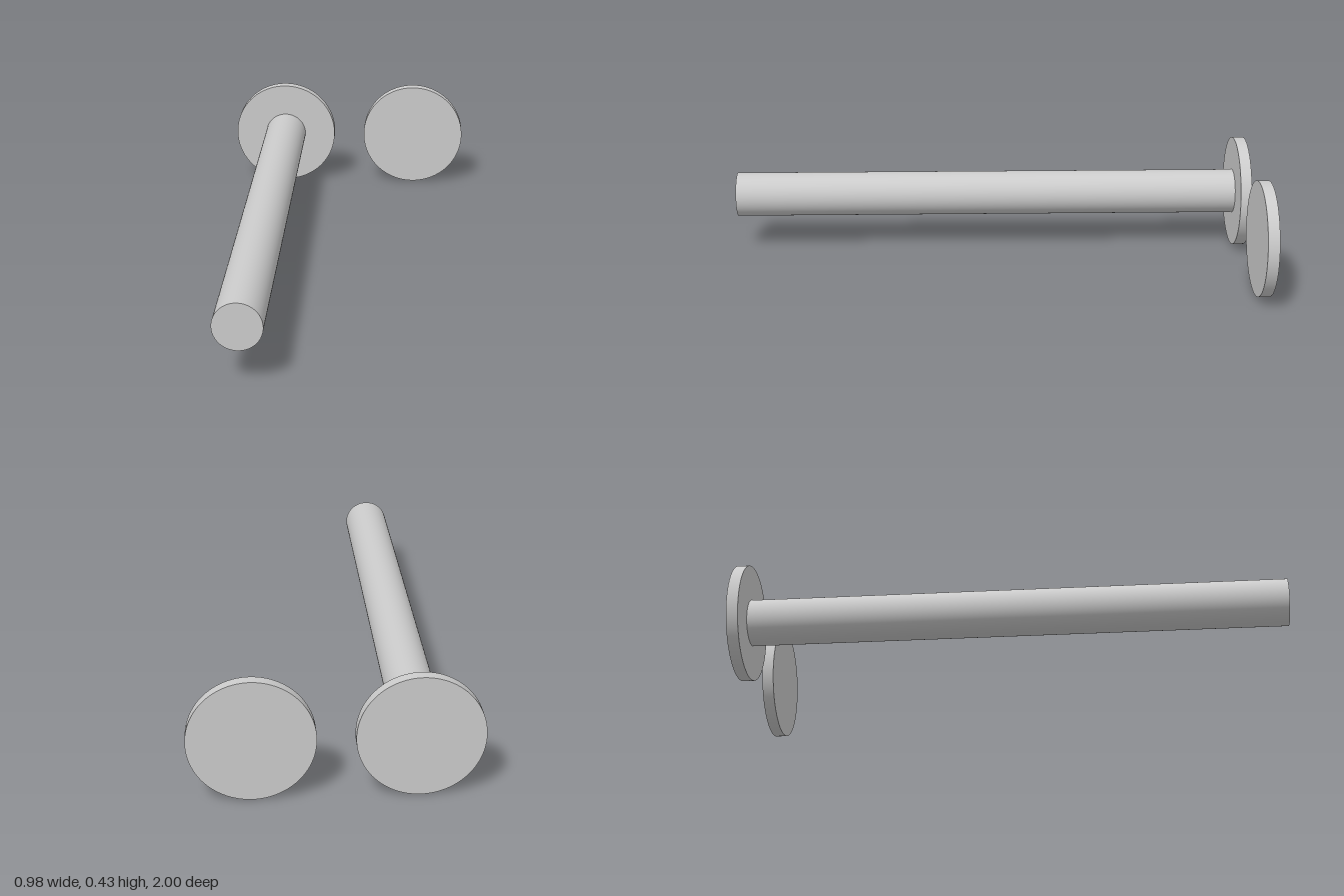
import * as THREE from 'three';

const UNIT = 2 / 47; // disc thickness; the whole pin is 47 of these long
const DISC_RADIUS = 5 * UNIT;
const ROD_RADIUS = 2 * UNIT;
const OFFSET = 6.5 * UNIT;

export function createModel() {
  const model = new THREE.Group();
  model.name = 'pinAndCap';
  const material = new THREE.MeshStandardMaterial({ color: 0xcccccc });

  // Solid cylinder lying along z between two depths
  function addCylinder(name, radius, x, zBack, zFront) {
    const geometry = new THREE.CylinderGeometry(radius, radius, zFront - zBack, 96);
    geometry.rotateX(Math.PI / 2);
    const mesh = new THREE.Mesh(geometry, material);
    mesh.name = name;
    mesh.position.set(x, DISC_RADIUS, (zBack + zFront) / 2);
    model.add(mesh);
  }

  // Pin: flat head with a long rod
  addCylinder('pinHead', DISC_RADIUS, -OFFSET, -1, -1 + UNIT);
  addCylinder('pinRod', ROD_RADIUS, -OFFSET, -1 + UNIT, 1);

  // Separate end cap beside the pin head
  addCylinder('endCap', DISC_RADIUS, OFFSET, -1, -1 + UNIT);

  return model;
}
